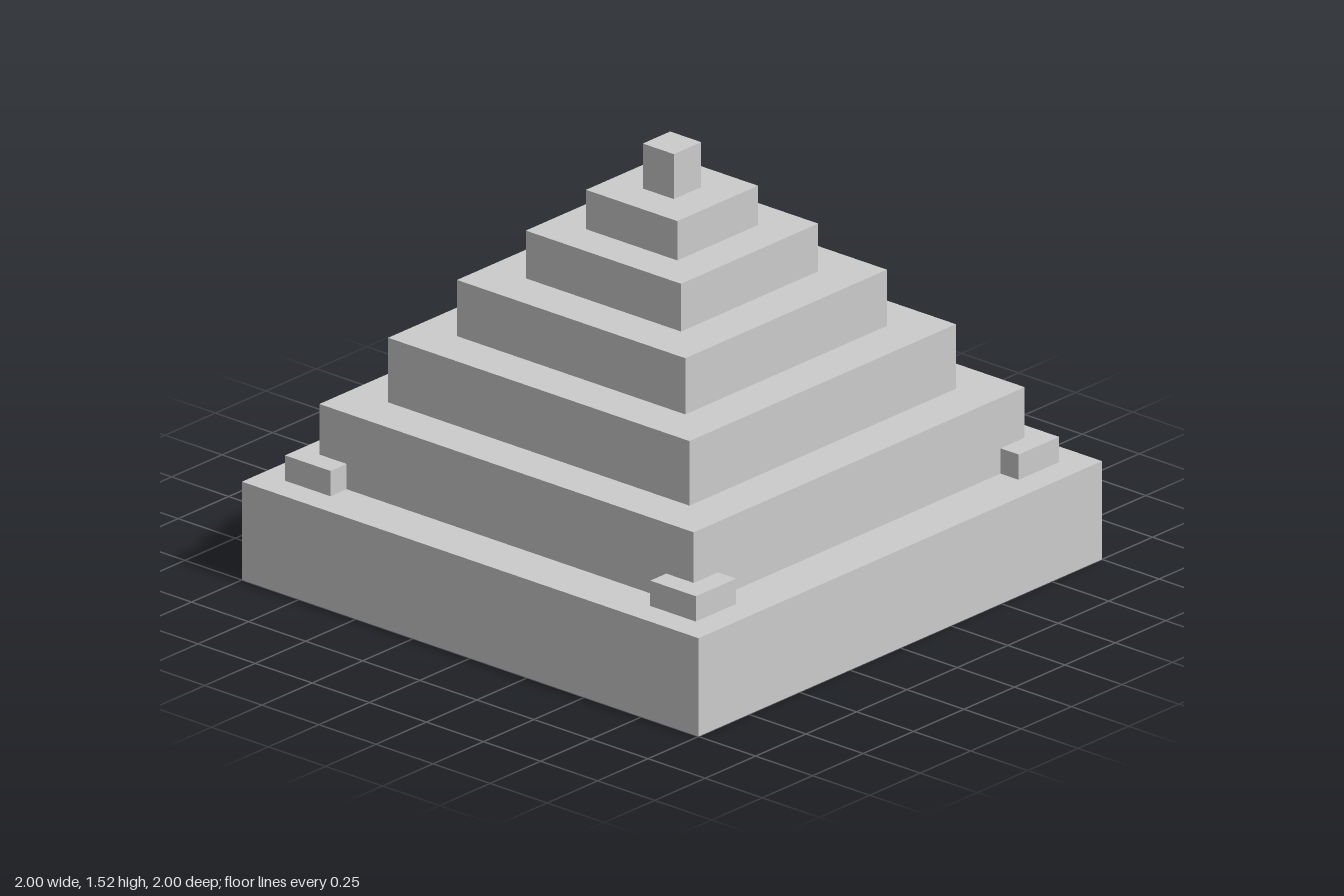
import * as THREE from 'three';

export function createModel() {
  const model = new THREE.Group();
  model.name = 'steppedPyramid';
  const material = new THREE.MeshStandardMaterial({ color: 0xcccccc, flatShading: true });

  // Square block given by its width and its bottom and top heights
  function addBlock(name, width, bottom, top, x = 0, z = 0) {
    const mesh = new THREE.Mesh(new THREE.BoxGeometry(width, top - bottom, width), material);
    mesh.position.set(x, (bottom + top) / 2, z);
    mesh.name = name;
    model.add(mesh);
  }

  // Stacked tiers, base to capstone: [name, width, top height]
  const tiers = [
    ['base', 2, 0.35],
    ['tier1', 1.64, 0.62],
    ['tier2', 1.32, 0.85],
    ['tier3', 1, 1.05],
    ['tier4', 0.68, 1.22],
    ['tier5', 0.4, 1.36],
    ['capstone', 0.136, 1.52],
  ];
  let bottom = 0;
  for (const [name, width, top] of tiers) {
    addBlock(name, width, bottom, top);
    bottom = top;
  }

  // Low corner blocks on the base, partly sunk into the first tier
  for (const [side, x] of [['Left', 0.8], ['Right', -0.8]])
    for (const [end, z] of [['front', 0.8], ['back', -0.8]])
      addBlock(`${end}${side}CornerBlock`, 0.2, 0.35, 0.44, x, z);

  return model;
}
